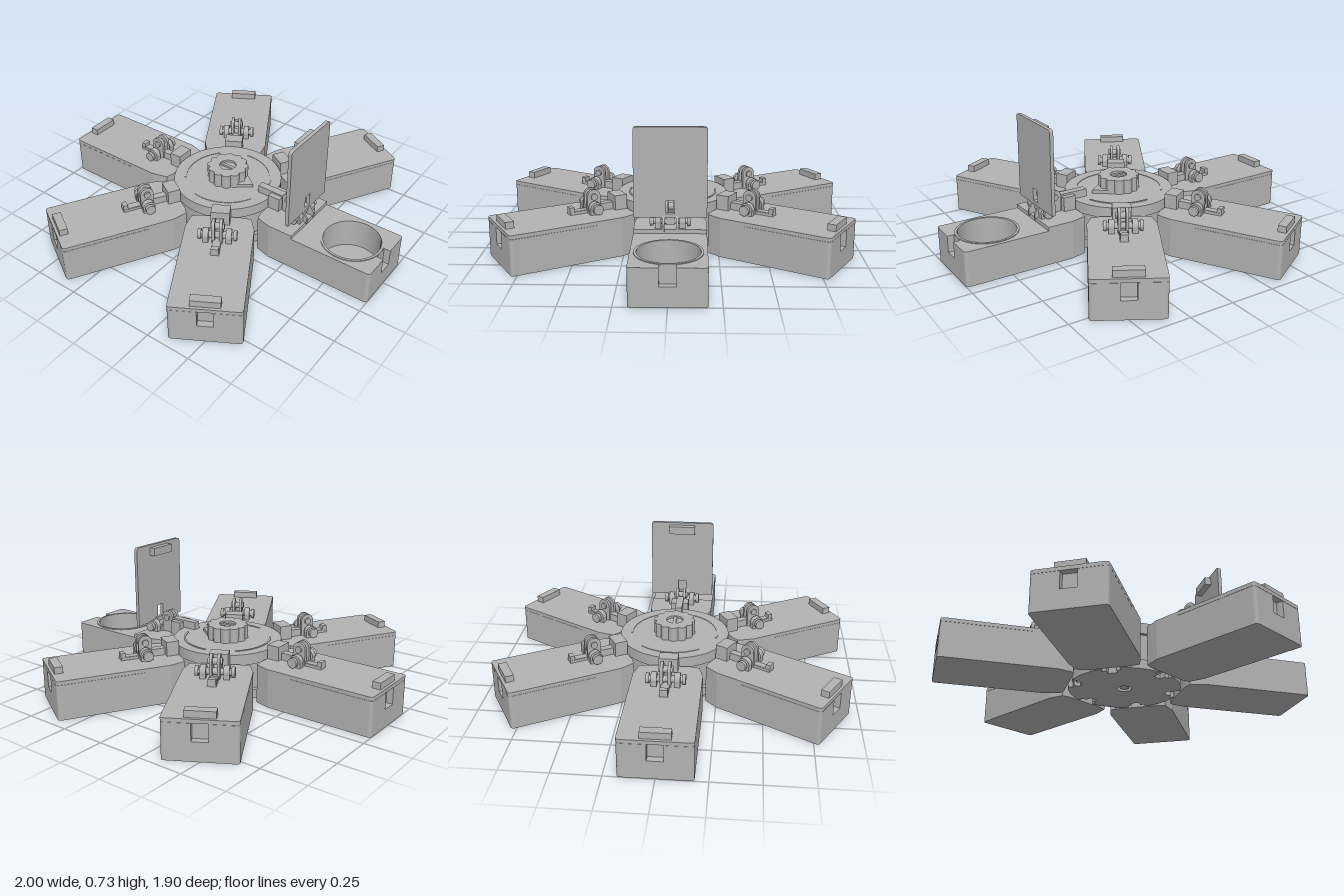
import * as THREE from 'three';

const grey = new THREE.MeshStandardMaterial({ color: 0xb2b2b2 });
grey.name = 'plainGrey';

function add(group, name, geometry, x = 0, y = 0, z = 0) {
  const mesh = new THREE.Mesh(geometry, grey);
  mesh.name = name;
  mesh.position.set(x, y, z);
  group.add(mesh);
  return mesh;
}

// box given by its limits, symmetric about z = zc
function block(group, name, x0, x1, y0, y1, width, zc = 0) {
  return add(group, name, new THREE.BoxGeometry(x1 - x0, y1 - y0, width),
    (x0 + x1) / 2, (y0 + y1) / 2, zc);
}

// plan outline (x, z) raised from y0 to y1
function slab(group, name, shape, y0, y1) {
  const g = new THREE.ExtrudeGeometry(shape, { depth: y1 - y0, bevelEnabled: false, curveSegments: 24 });
  g.rotateX(-Math.PI / 2);
  return add(group, name, g, 0, y0, 0);
}

// axle lying along z
function axle(group, name, x, y, z, r, length) {
  const g = new THREE.CylinderGeometry(r, r, length, 24);
  g.rotateX(Math.PI / 2);
  return add(group, name, g, x, y, z);
}

const outline = pts => new THREE.Shape(pts.map(([x, y]) => new THREE.Vector2(x, y)));

function circleHole(shape, x, y, r) {
  const hole = new THREE.Path();
  hole.absarc(x, y, r, 0, Math.PI * 2, true);
  shape.holes.push(hole);
  return shape;
}

// container outline, rounded at the outer corners, with an optional end notch
const W = 0.183;
function boxOutline(x0, notch) {
  const c = 0.02, s = new THREE.Shape();
  s.moveTo(x0, -W);
  s.lineTo(1 - c, -W);
  s.quadraticCurveTo(1, -W, 1, -W + c);
  if (notch) for (const [x, y] of [[1, -0.04], [0.965, -0.04], [0.965, 0.04], [1, 0.04]]) s.lineTo(x, y);
  s.lineTo(1, W - c);
  s.quadraticCurveTo(1, W, 1 - c, W);
  s.lineTo(x0, W);
  return s;
}

// lid modelled closed; it turns about the hinge pin
const PIN = [0.4925, 0.2175];
function makeLid(open) {
  const lid = new THREE.Group();
  lid.name = 'lid';
  const inner = new THREE.Group();
  inner.position.set(-PIN[0], -PIN[1], 0);
  lid.add(inner);
  const s = boxOutline(0.54, false);
  if (open) { // slot that clears the hinge lever
    const slot = outline([[0.56, -0.022], [0.56, 0.022], [0.63, 0.022], [0.63, -0.022]]);
    s.holes.push(new THREE.Path(slot.getPoints()));
  }
  slab(inner, 'lidPlate', s, 0.191, 0.211);
  block(inner, 'lidCatch', 0.94, 0.985, 0.21, 0.246, 0.15);
  block(inner, 'hingeLever', 0.5, open ? 0.56 : 0.62, 0.2, open ? 0.215 : 0.225, 0.044);
  lid.position.set(PIN[0], PIN[1], 0);
  if (open) lid.rotation.z = Math.PI / 2;
  return lid;
}

function makeHinge(open) {
  const hinge = new THREE.Group();
  hinge.name = 'hinge';
  // upright link with a pin hole
  const loopX = open ? 0.42 : 0.487;
  const loop = new THREE.Shape();
  loop.moveTo(-0.037, 0);
  loop.lineTo(0.037, 0);
  loop.lineTo(0.037, 0.09);
  loop.absarc(0, 0.09, 0.037, 0, Math.PI, false);
  circleHole(loop, 0, 0.088, 0.018);
  const g = new THREE.ExtrudeGeometry(loop, { depth: 0.016, bevelEnabled: false, curveSegments: 12 });
  for (const z of [-0.028, 0.012]) add(hinge, 'hingeLink', g, loopX, 0.208, z);
  axle(hinge, 'upperPin', loopX, 0.296, 0, 0.018, 0.075);
  // main pin, with side bearings and end caps
  axle(hinge, 'hingePin', PIN[0], 0.243, 0, 0.018, 0.2);
  for (const side of [-1, 1]) {
    axle(hinge, 'bearing', PIN[0], 0.243, side * 0.06, 0.034, 0.03);
    axle(hinge, 'pinCap', PIN[0], 0.243, side * 0.093, 0.027, 0.018);
    block(hinge, 'bearingFoot', 0.46, 0.525, 0.2, 0.238, 0.03, side * 0.06);
    if (open) {
      const rib = outline([[0.44, 0.2], [0.545, 0.2], [0.545, 0.235], [0.5, 0.3], [0.47, 0.25]]);
      add(hinge, 'gusset', new THREE.ExtrudeGeometry(rib, { depth: 0.012, bevelEnabled: false }),
        0, 0, side * 0.035 - 0.006);
    }
  }
  if (!open) {
    // raised lever resting on the lid
    block(hinge, 'leverTip', 0.595, 0.62, 0.21, 0.25, 0.04);
    block(hinge, 'leverBar', 0.52, 0.6, 0.21, 0.228, 0.04);
  }
  // link and socket joining the hub
  block(hinge, 'linkBar', 0.37, 0.46, 0.2, 0.25, 0.04);
  block(hinge, 'hubSocket', 0.305, 0.375, 0.18, 0.29, 0.1);
  if (open) block(hinge, 'hubLatch', 0.22, 0.385, 0.258, 0.3, 0.04);
  return hinge;
}

function makeArm(open) {
  const arm = new THREE.Group();
  arm.name = open ? 'openContainer' : 'closedContainer';
  // tapered inner end next to the hub
  slab(arm, 'innerEnd', outline([[0.305, -0.12], [0.315, -0.16], [0.40, -W], [0.54, -W],
    [0.54, W], [0.40, W], [0.315, 0.16], [0.305, 0.12]]), 0, 0.211);
  // body with a round well and a notch in the end wall
  const well = s => circleHole(s, 0.8, 0, 0.152);
  slab(arm, 'floor', boxOutline(0.54, false), 0, 0.03);
  slab(arm, 'lowerWall', well(boxOutline(0.54, false)), 0.03, 0.1);
  slab(arm, 'upperWall', well(boxOutline(0.54, true)), 0.1, 0.19);
  if (open) {
    const rim = new THREE.Shape();
    rim.absarc(0.8, 0, 0.165, 0, Math.PI * 2, false);
    slab(arm, 'wellRim', circleHole(rim, 0.8, 0, 0.152), 0.188, 0.194);
  }
  arm.add(makeLid(open), makeHinge(open));
  return arm;
}

function makeHub() {
  const hub = new THREE.Group();
  hub.name = 'hub';
  // base plate with a keyed notch facing each container
  const base = new THREE.Shape();
  const notch = [[0.298, -0.05], [0.27, -0.05], [0.27, -0.025], [0.235, -0.025],
    [0.235, 0.025], [0.27, 0.025], [0.27, 0.05], [0.298, 0.05]];
  for (let i = 0; i < 6; i++) {
    const a = i * Math.PI / 3;
    notch.forEach(([x, y], k) => {
      const px = x * Math.cos(a) - y * Math.sin(a), py = x * Math.sin(a) + y * Math.cos(a);
      if (i + k === 0) base.moveTo(px, py); else base.lineTo(px, py);
    });
    base.absarc(0, 0, 0.302, a + 0.167, a + Math.PI / 3 - 0.167, false);
  }
  slab(hub, 'basePlate', circleHole(base, 0, 0, 0.04), 0, 0.05);
  add(hub, 'core', new THREE.CylinderGeometry(0.28, 0.28, 0.17, 64), 0, 0.115, 0);
  add(hub, 'screwHead', new THREE.CylinderGeometry(0.025, 0.025, 0.025, 16), 0, 0.0185, 0);
  add(hub, 'topDisc', new THREE.CylinderGeometry(0.3, 0.3, 0.06, 64), 0, 0.226, 0);
  // arc marks on the disc
  for (let i = 0; i < 3; i++) {
    const s = new THREE.Shape(), a = i * Math.PI * 2 / 3 + 0.3;
    s.absarc(0, 0, 0.243, a, a + 1.4, false);
    s.absarc(0, 0, 0.233, a + 1.4, a, true);
    slab(hub, 'arcMark', s, 0.254, 0.259);
  }
  // scalloped knob with a pointer
  const knob = new THREE.Shape();
  for (let i = 0; i <= 120; i++) {
    const a = i / 120 * Math.PI * 2;
    const r = 0.1 + 0.014 * Math.abs(Math.cos(a * 6));
    if (i) knob.lineTo(r * Math.cos(a), r * Math.sin(a)); else knob.moveTo(r, 0);
  }
  slab(hub, 'knob', circleHole(knob, 0, 0, 0.046), 0.256, 0.335);
  slab(hub, 'pointer', outline([[0.09, -0.06], [0.172, 0], [0.09, 0.06]]), 0.256, 0.275);
  add(hub, 'knobCentre', new THREE.CylinderGeometry(0.046, 0.046, 0.066, 32), 0, 0.289, 0);
  block(hub, 'knobKey', -0.042, 0.042, 0.32, 0.332, 0.018);
  return hub;
}

export function createModel() {
  const model = new THREE.Group();
  model.name = 'sixArmDispenser';
  model.add(makeHub());
  for (let i = 0; i < 6; i++) {
    const arm = makeArm(i === 0);
    arm.rotation.y = i * Math.PI / 3;
    model.add(arm);
  }
  return model;
}
